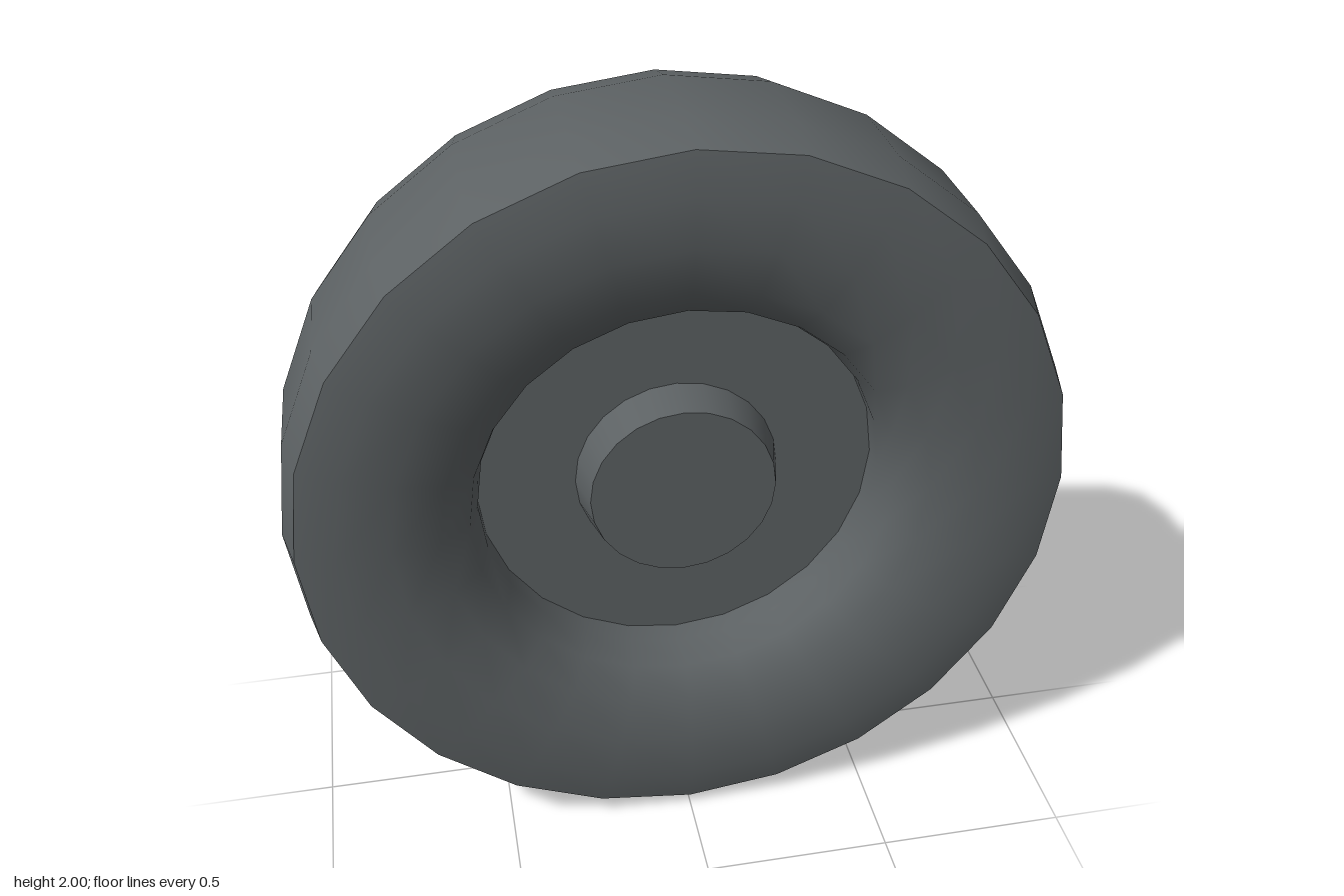
import * as THREE from 'three';
import { toCreasedNormals } from 'three/addons/utils/BufferGeometryUtils.js';

const SIDES = 24;

export function createModel() {
  const rubber = new THREE.MeshStandardMaterial({ color: 0x5c6163 });
  rubber.name = 'dark grey';

  const wheel = new THREE.Group();
  wheel.name = 'wheel';
  wheel.position.y = 1;

  const add = (name, geometry, z = 0) => {
    const mesh = new THREE.Mesh(geometry, rubber);
    mesh.name = name;
    mesh.position.z = z;
    wheel.add(mesh);
  };

  // Tyre: half section (radius, depth) from tread to bore, mirrored front to back
  const half = [
    [1, 0.13], [0.97, 0.25], [0.87, 0.27], [0.74, 0.262],
    [0.62, 0.235], [0.545, 0.18], [0.52, 0.1],
  ];
  const section = [
    ...half,
    ...half.slice().reverse().map(([r, d]) => [r, -d]),
    half[0],
  ].map(([r, d]) => new THREE.Vector2(r, d));
  const tyre = new THREE.LatheGeometry(section, SIDES).rotateX(Math.PI / 2);
  add('tyre', toCreasedNormals(tyre, THREE.MathUtils.degToRad(50)));

  // Recessed hub disc filling the bore
  add('hubDisc', new THREE.CylinderGeometry(0.53, 0.53, 0.075, SIDES).rotateX(Math.PI / 2));

  // Tapered hub caps on both faces
  for (const side of [1, -1]) {
    const cap = new THREE.CylinderGeometry(0.24, 0.265, 0.105, SIDES).rotateX(side * Math.PI / 2);
    add(side > 0 ? 'frontHubCap' : 'backHubCap', cap, side * 0.0875);
  }

  const model = new THREE.Group();
  model.name = 'wheelModel';
  model.add(wheel);
  return model;
}
